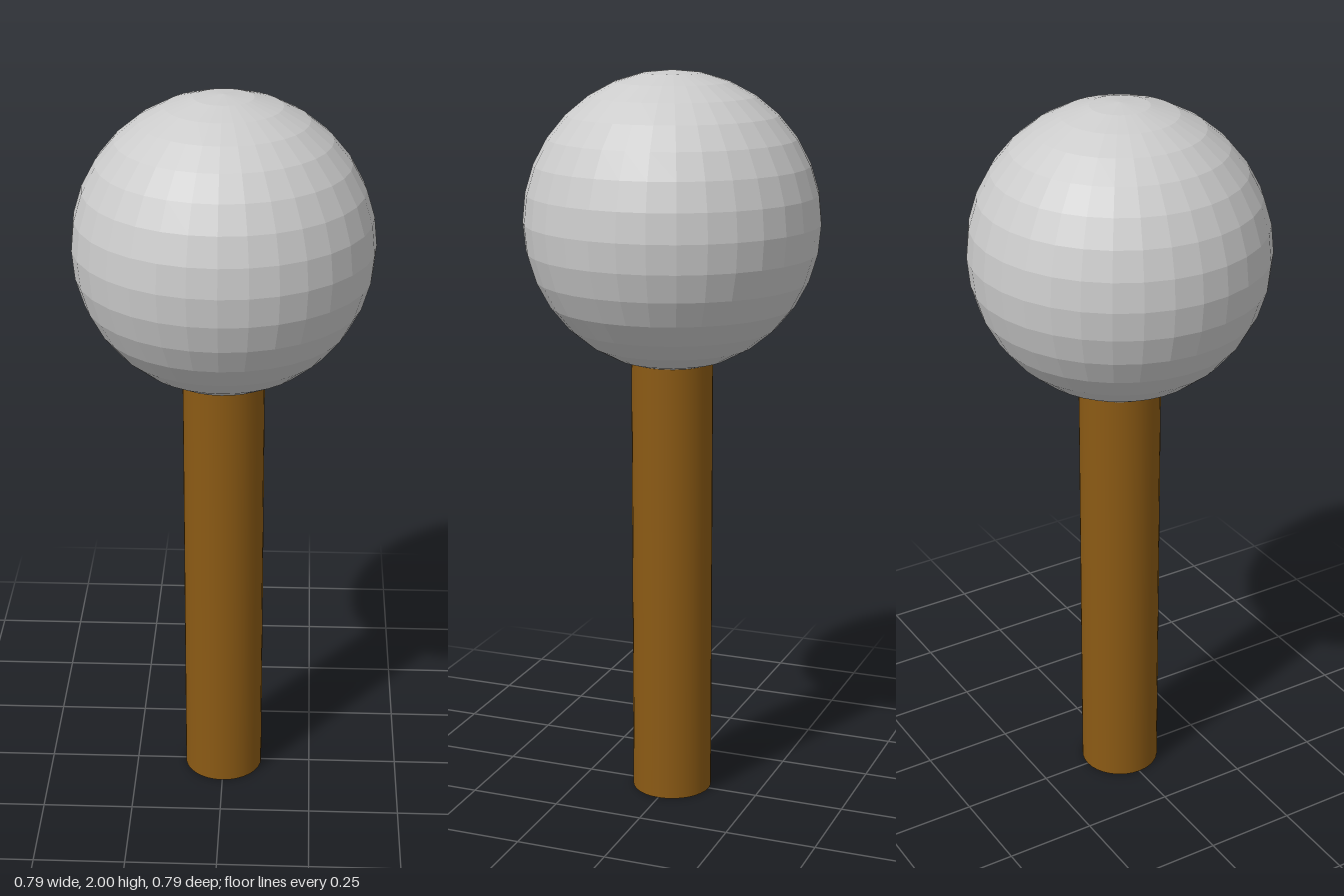
import * as THREE from 'three';

const HEIGHT = 2;
const BALL_RADIUS = 0.395;
const HANDLE_RADIUS = 0.11;
const HANDLE_LENGTH = 1.24;

export function createModel() {
  const model = new THREE.Group();
  model.name = 'ballOnHandle';

  // Faceted ball resting on the handle
  const ball = new THREE.Mesh(
    new THREE.SphereGeometry(BALL_RADIUS, 32, 16),
    new THREE.MeshStandardMaterial({ color: 0xcccccc, flatShading: true })
  );
  ball.name = 'ball';
  ball.position.y = HEIGHT - BALL_RADIUS;
  model.add(ball);

  // Smooth round handle, its top sunk slightly into the ball
  const handle = new THREE.Mesh(
    new THREE.CylinderGeometry(HANDLE_RADIUS, HANDLE_RADIUS, HANDLE_LENGTH, 32),
    new THREE.MeshStandardMaterial({ color: 0x8b5a14 })
  );
  handle.name = 'handle';
  handle.position.y = HANDLE_LENGTH / 2;
  model.add(handle);

  return model;
}
